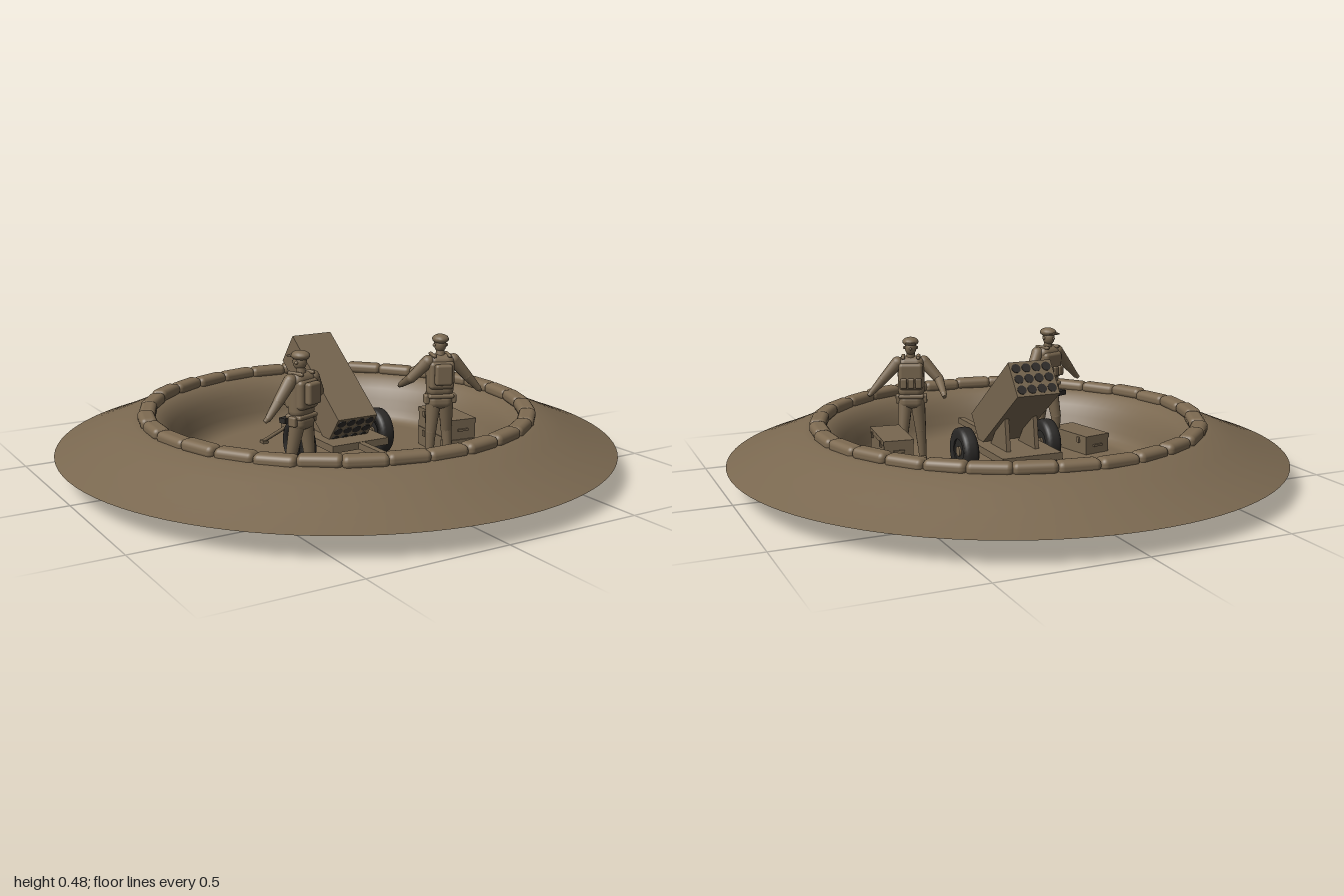
import * as THREE from 'three';
import { RoundedBoxGeometry } from 'three/addons/geometries/RoundedBoxGeometry.js';

const mat = (name, color, side = THREE.FrontSide) => {
  const m = new THREE.MeshStandardMaterial({ color, side });
  m.name = name;
  return m;
};
const earth = mat('earth', 0x7a6850, THREE.DoubleSide);
const canvas = mat('canvas', 0x7d6a51);
const paint = mat('paint', 0x786750);
const cloth = mat('cloth', 0x7a6850);
const rubber = mat('rubber', 0x2b2927);
const bore = mat('bore', 0x2e2b28);

function add(parent, name, geometry, material, x = 0, y = 0, z = 0) {
  const m = new THREE.Mesh(geometry, material);
  m.name = name;
  m.position.set(x, y, z);
  parent.add(m);
  return m;
}
function group(parent, name, x = 0, y = 0, z = 0) {
  const g = new THREE.Group();
  g.name = name;
  g.position.set(x, y, z);
  parent.add(g);
  return g;
}
const box = (w, h, d) => new THREE.BoxGeometry(w, h, d);
const soft = (w, h, d, r) => new RoundedBoxGeometry(w, h, d, 3, r);
const ball = (r) => new THREE.SphereGeometry(r, 16, 12);

// Tapered round limb from a to b, with a ball at its start
function limb(parent, name, a, b, ra, rb, material) {
  const p = new THREE.Vector3(...a), q = new THREE.Vector3(...b);
  const dir = q.clone().sub(p);
  const m = add(parent, name, new THREE.CylinderGeometry(rb, ra, dir.length(), 12), material);
  m.position.copy(p).add(q).multiplyScalar(0.5);
  m.quaternion.setFromUnitVectors(new THREE.Vector3(0, 1, 0), dir.normalize());
  add(parent, name + 'Joint', ball(ra), material, ...a);
}

// Round pit with a raised bank
function buildGround(root) {
  const profile = [[0, 0.011], [0.5, 0.011], [0.525, 0.016], [0.548, 0.033], [0.562, 0.06],
    [0.575, 0.095], [0.595, 0.135], [0.62, 0.165], [0.65, 0.183], [0.69, 0.19], [0.73, 0.186],
    [0.8, 0.159], [0.87, 0.13], [0.94, 0.102], [1, 0.08]];
  add(root, 'earthPit', new THREE.LatheGeometry(profile.map(p => new THREE.Vector2(...p)), 96), earth);
}

// Ring of sandbags on the bank
function buildSandbags(root) {
  const ring = group(root, 'sandbagRing');
  let seed = 7;
  const rnd = () => (seed = (seed * 16807) % 2147483647) / 2147483647 - 0.5;
  const n = 31;
  for (let i = 0; i < n; i++) {
    const a = (i / n) * Math.PI * 2, r = 0.678 + rnd() * 0.008;
    const bag = add(ring, 'sandbag', soft(0.142 + rnd() * 0.012, 0.044, 0.06, 0.019), canvas,
      Math.sin(a) * r, 0.199 + rnd() * 0.006, Math.cos(a) * r);
    bag.rotation.set(0, a + rnd() * 0.08, rnd() * 0.05);
  }
}

// Towed multiple launcher
function buildLauncher(root) {
  const gun = group(root, 'launcher');
  add(gun, 'carriagePlate', box(0.23, 0.026, 0.385), paint, 0, 0.098, -0.018);
  add(gun, 'towBar', box(0.024, 0.024, 0.28), paint, 0, 0.098, 0.31);
  const axle = add(gun, 'axle', new THREE.CylinderGeometry(0.012, 0.012, 0.33, 12), paint, 0, 0.096, 0.02);
  axle.rotation.z = Math.PI / 2;

  // Tyre section turned about the axle
  const tyre = [[0.045, -0.024], [0.072, -0.028], [0.083, -0.022], [0.086, -0.01],
    [0.086, 0.01], [0.083, 0.022], [0.072, 0.028], [0.045, 0.024], [0.045, -0.024]];
  for (const s of [-1, 1]) {
    const wheel = group(gun, 'wheel', s * 0.163, 0.092, 0.02);
    wheel.rotation.z = Math.PI / 2;
    add(wheel, 'tyre', new THREE.LatheGeometry(tyre.map(p => new THREE.Vector2(...p)), 32), rubber);
    add(wheel, 'hub', new THREE.CylinderGeometry(0.046, 0.046, 0.038, 24), rubber);
    add(wheel, 'hubCap', new THREE.CylinderGeometry(0.018, 0.018, 0.052, 16), paint);
    // Rear outrigger and its foot
    limb(gun, 'outrigger', [s * 0.11, 0.092, -0.19], [s * 0.14, 0.02, -0.3], 0.007, 0.007, paint);
    add(gun, 'outriggerFoot', box(0.022, 0.012, 0.026), paint, s * 0.14, 0.016, -0.3);

    // Triangular cradle bracket
    const tri = new THREE.Shape();
    tri.moveTo(-0.02, 0.1);
    tri.lineTo(0.13, 0.1);
    tri.lineTo(0.11, 0.235);
    tri.lineTo(0.08, 0.235);
    const bracket = add(gun, 'cradleBracket',
      new THREE.ExtrudeGeometry(tri, { depth: 0.016, bevelEnabled: false }), paint, s * 0.055 - 0.008, 0, 0);
    bracket.rotation.y = Math.PI / 2;
  }

  // Raised pod, open tubes at both ends
  const L = 0.41, H = 0.132;
  const pod = group(gun, 'launchPod', 0, 0.264, -0.052);
  pod.rotation.x = 0.643;
  add(pod, 'podCase', box(0.16, H, L), paint);
  for (const end of [-1, 1]) for (let c = 0; c < 4; c++) for (let r = 0; r < 3; r++) {
    const x = (c - 1.5) * 0.038, y = (r - 1) * 0.041;
    const tube = add(pod, 'tubeMouth', new THREE.CylinderGeometry(0.0165, 0.0165, 0.004, 20), bore,
      x, y, end * L / 2);
    tube.rotation.x = Math.PI / 2;
  }
}

// Ammunition crates, stacked by count
function buildCrates(root, x, z, turn, count, w, d) {
  const stack = group(root, 'crateStack', x, 0.008, z);
  stack.rotation.y = turn;
  const h = 0.075;
  for (let i = 0; i < count; i++) {
    const y = i * h;
    add(stack, 'crate', box(w, h - 0.018, d), paint, 0, y + (h - 0.018) / 2, 0);
    add(stack, 'crateLid', box(w + 0.004, 0.017, d + 0.004), paint, 0, y + h - 0.0095, 0);
    for (const s of [-1, 1]) {
      add(stack, 'handle', box(0.04, 0.008, 0.008), paint, 0, y + 0.035, s * (d / 2 + 0.003));
      for (const k of [-1, 1])
        add(stack, 'latch', box(0.007, 0.022, 0.014), paint, s * (w / 2 + 0.003), y + 0.055, k * d * 0.3);
    }
  }
}

// Standing crewman; s = 1 on the right side of the pit, -1 mirrored
function buildCrewman(root, s) {
  const man = group(root, 'crewman', -0.28 * s, 0, 0.248);
  const body = group(man, 'body');
  body.rotation.y = 0.36 * s;

  // Legs and boots
  for (const k of [-1, 1]) {
    const fz = k * s * 0.012;
    limb(body, 'thigh', [k * 0.023, 0.235, 0], [k * 0.032, 0.13, fz - 0.006], 0.027, 0.02, cloth);
    limb(body, 'shin', [k * 0.032, 0.13, fz - 0.006], [k * 0.038, 0.03, fz], 0.02, 0.014, cloth);
    add(body, 'boot', soft(0.028, 0.032, 0.064, 0.012), cloth, k * 0.039, 0.016, fz - 0.012);
  }

  // Torso, vest, belt and pack
  add(body, 'hips', soft(0.088, 0.055, 0.062, 0.024), cloth, 0, 0.242, 0);
  add(body, 'torso', soft(0.098, 0.155, 0.062, 0.028), cloth, 0, 0.333, 0);
  add(body, 'vest', soft(0.09, 0.1, 0.08, 0.014), cloth, 0, 0.338, 0);
  add(body, 'belt', soft(0.093, 0.016, 0.068, 0.007), cloth, 0, 0.262, 0);
  add(body, 'backpack', soft(0.062, 0.075, 0.028, 0.01), cloth, 0, 0.345, 0.05);
  for (const k of [-1, 0, 1])
    add(body, 'vestPouch', soft(0.023, 0.036, 0.016, 0.005), cloth, k * 0.027, 0.315, -0.044);
  for (const k of [-1, 1]) {
    add(body, 'beltPouch', soft(0.018, 0.034, 0.032, 0.006), cloth, k * 0.049, 0.25, 0.004);
    add(body, 'strap', soft(0.014, 0.012, 0.066, 0.005), cloth, k * 0.028, 0.407, 0);
  }
  if (s > 0) add(body, 'darkPouch', box(0.04, 0.018, 0.026), bore, 0, 0.235, -0.068);

  // Head, ears, face and peaked cap
  limb(body, 'neck', [0, 0.395, 0], [0, 0.43, -0.004], 0.018, 0.015, cloth);
  add(body, 'head', ball(0.024), cloth, 0, 0.443, -0.006).scale.set(0.9, 1.2, 1.05);
  add(body, 'nose', ball(0.005), cloth, 0, 0.441, -0.032);
  for (const k of [-1, 1]) add(body, 'ear', ball(0.006), cloth, k * 0.022, 0.442, -0.002);
  add(body, 'cap', ball(0.031), cloth, 0, 0.464, -0.003).scale.set(0.95, 0.55, 1.1);
  add(body, 'capPeak', soft(0.036, 0.006, 0.026, 0.003), cloth, 0, 0.46, -0.036);

  // Outer arm held away, inner arm reaching to the launcher
  const arms = [
    [[-0.048, 0.386, 0.012], [-0.1, 0.325, 0.026], [-0.143, 0.277, 0.036], [-0.155, 0.267, 0.034]],
    [[0.048, 0.386, -0.008], [0.092, 0.325, -0.045], [0.08, 0.285, -0.125], [0.076, 0.276, -0.142]],
  ];
  for (const arm of arms) {
    const [shoulder, elbow, wrist, hand] = arm.map(([x, y, z]) => [x * s, y, z]);
    limb(man, 'upperArm', shoulder, elbow, 0.023, 0.018, cloth);
    limb(man, 'forearm', elbow, wrist, 0.018, 0.011, cloth);
    limb(man, 'hand', wrist, hand, 0.011, 0.007, cloth);
  }
}

export function createModel() {
  const root = new THREE.Group();
  root.name = 'launcherEmplacement';
  buildGround(root);
  buildSandbags(root);
  buildLauncher(root);
  buildCrates(root, 0.4, 0.13, -0.11, 2, 0.105, 0.235);
  buildCrates(root, -0.385, 0.175, 0.2, 1, 0.11, 0.22);
  buildCrewman(root, 1);
  buildCrewman(root, -1);
  return root;
}
